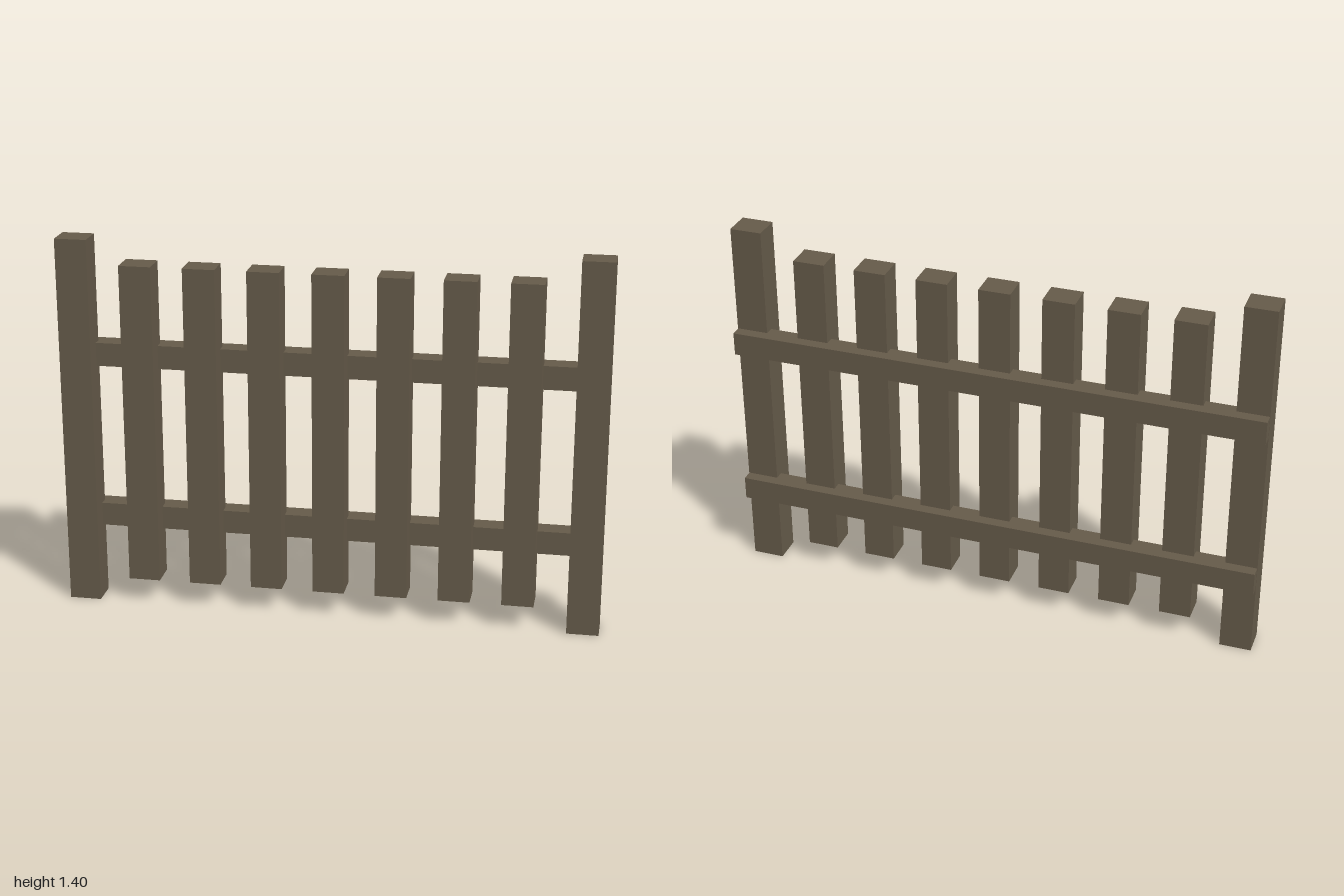
import * as THREE from 'three';

export function createModel() {
  const fence = new THREE.Group();
  fence.name = 'fence';
  const wood = new THREE.MeshStandardMaterial({ color: 0x665b4a });
  wood.name = 'weathered wood';

  // Box given by its minimum and maximum corners
  function board(name, [x0, y0, z0], [x1, y1, z1]) {
    const mesh = new THREE.Mesh(new THREE.BoxGeometry(x1 - x0, y1 - y0, z1 - z0), wood);
    mesh.position.set((x0 + x1) / 2, (y0 + y1) / 2, (z0 + z1) / 2);
    mesh.name = name;
    fence.add(mesh);
  }

  const back = -0.031, front = 0.073, half = 0.059;

  // Tall end posts
  board('rightPost', [-1, 0, back], [-1 + 2 * half, 1.4, front]);
  board('leftPost', [1 - 2 * half, 0, back], [1, 1.4, front]);

  // Seven shorter pickets, evenly spaced
  for (let i = -3; i <= 3; i++) {
    const x = -0.003 + i * 0.2345;
    board(`picket${i + 4}`, [x - half, 0.095, back], [x + half, 1.31, front]);
  }

  // Two rails let into the back of the uprights
  board('lowerRail', [-0.999, 0.279, -0.073], [0.999, 0.367, 0.004]);
  board('upperRail', [-0.999, 0.909, -0.073], [0.999, 0.997, 0.004]);

  return fence;
}
